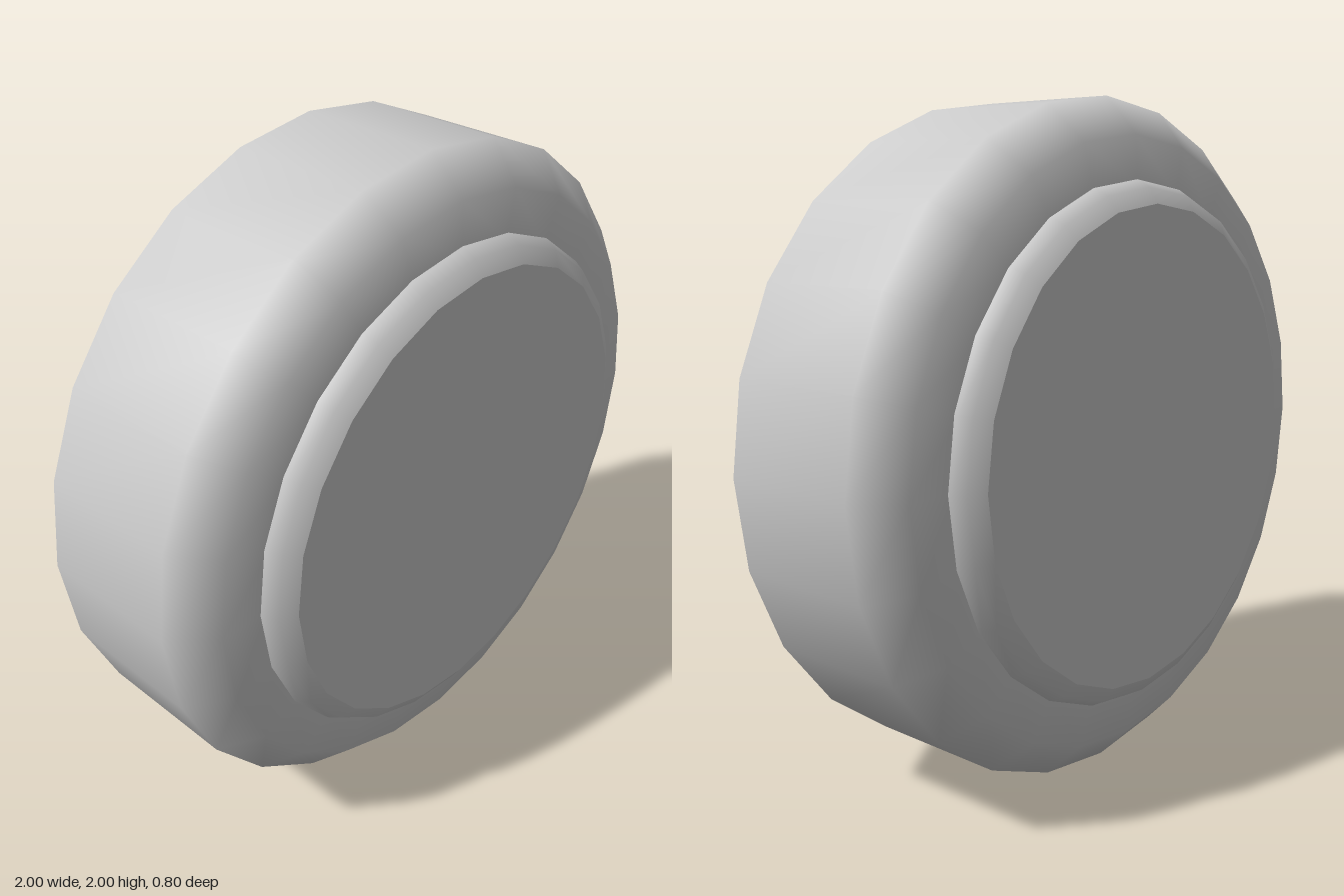
import * as THREE from 'three';

const SIDES = 24;

// Revolve [radius, z] points around the z axis; points run from back to front
function revolve(name, profile, material) {
  const geometry = new THREE.LatheGeometry(profile.map(([r, z]) => new THREE.Vector2(r, z)), SIDES);
  geometry.rotateX(Math.PI / 2);
  const mesh = new THREE.Mesh(geometry, material);
  mesh.name = name;
  return mesh;
}

export function createModel() {
  const group = new THREE.Group();
  group.name = 'wheel';
  const material = new THREE.MeshStandardMaterial({ color: 0xcccccc });

  // Tyre: flat tread, bevelled shoulders and flat side walls
  const half = [[1, 0.22], [0.89, 0.325], [0.75, 0.332]];
  const back = half.map(([r, z]) => [r, -z]).reverse();
  const tyre = revolve('tyre', [...back, ...half], material);
  group.add(tyre);

  // Hub on each side: a rounded rim closed by a flat disc
  for (const [side, turn] of [['front', 0], ['back', Math.PI]]) {
    const hub = new THREE.Group();
    hub.name = side + 'Hub';
    hub.add(revolve('hubRim', [[0.77, 0.32], [0.765, 0.34], [0.745, 0.375], [0.7, 0.402]], material));
    const disc = new THREE.Mesh(new THREE.CircleGeometry(0.7, SIDES), material);
    disc.name = 'hubDisc';
    disc.position.z = 0.402;
    hub.add(disc);
    hub.rotation.y = turn;
    group.add(hub);
  }

  group.children.forEach((part) => { part.position.y = 1; });
  return group;
}
